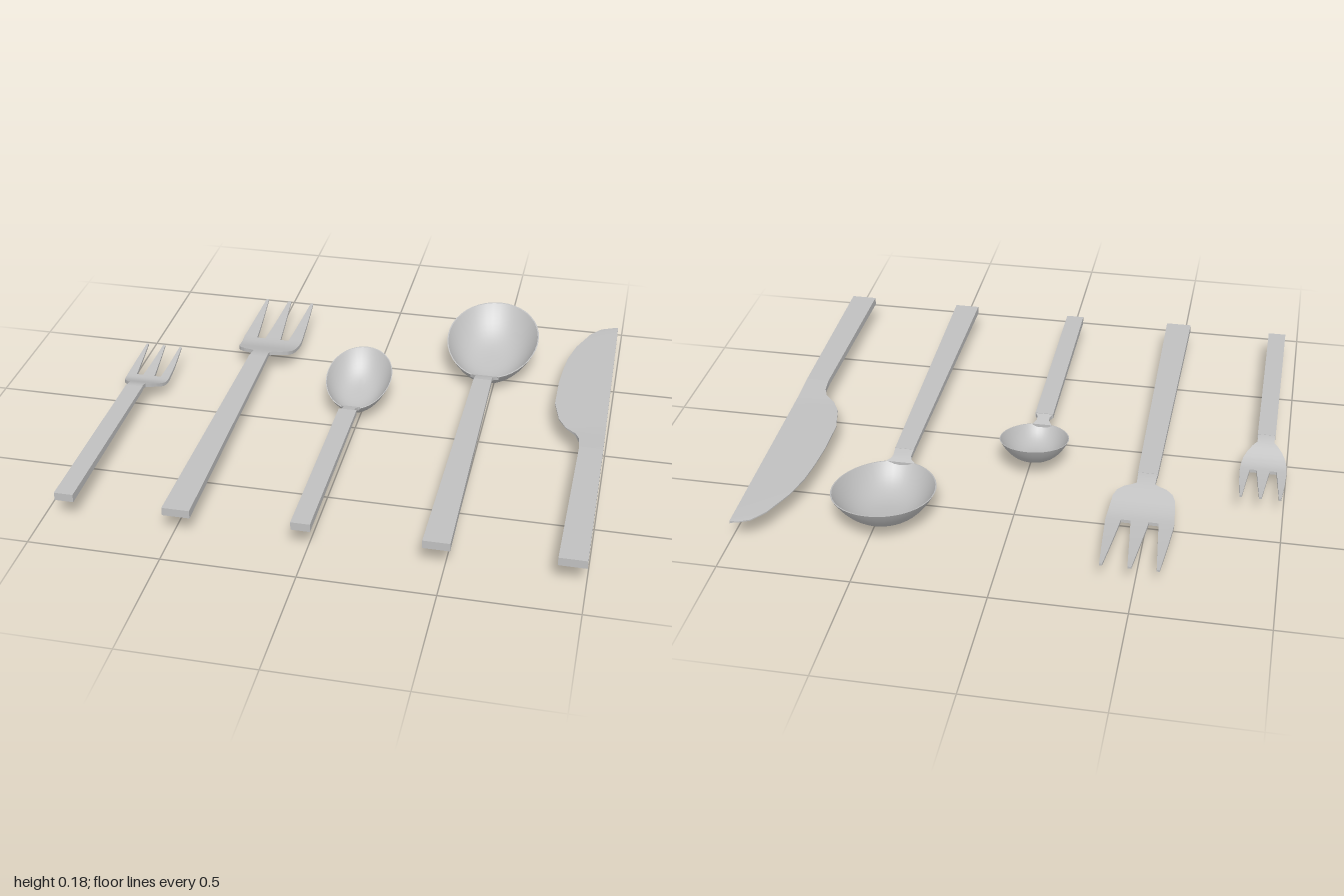
import * as THREE from 'three';
import { toCreasedNormals } from 'three/addons/utils/BufferGeometryUtils.js';

const steel = new THREE.MeshStandardMaterial({ color: 0xc0c0c0 });
steel.name = 'steel';

function part(group, name, geometry) {
  const mesh = new THREE.Mesh(toCreasedNormals(geometry, 0.6), steel);
  mesh.name = name;
  group.add(mesh);
  return mesh;
}

// Loft four-sided sections running from +z to -z.
// Section: [z, x0, x1, bottom, top, (bottom, top at x1)]
function loft(sections) {
  const pos = [], idx = [];
  for (const [z, x0, x1, b0, t0, b1 = b0, t1 = t0] of sections) {
    pos.push(x0, b0, z, x1, b1, z, x1, t1, z, x0, t0, z);
  }
  const last = (sections.length - 1) * 4;
  for (let i = 0; i < last; i += 4) {
    for (let k = 0; k < 4; k++) {
      const a = i + k, b = i + (k + 1) % 4;
      idx.push(a, a + 4, b, b, a + 4, b + 4);
    }
  }
  idx.push(0, 1, 2, 0, 2, 3, last, last + 2, last + 1, last, last + 3, last + 2);
  const g = new THREE.BufferGeometry();
  g.setAttribute('position', new THREE.Float32BufferAttribute(pos, 3));
  g.setIndex(idx);
  return g;
}

// Tapered bar handle
const handle = (z0, z1, w0, w1) => loft([
  [z0, -w0, w0, 0.088, 0.12],
  [z1, -w1, w1, 0.094, 0.114],
]);

// Fork: outline rows [z, x0, x1] are subdivided and bent along a dipping curve
function fork(name, x, o) {
  const g = new THREE.Group();
  g.name = name;
  g.position.x = x;
  part(g, 'handle', handle(o.end, o.neck, o.w0, o.w1));
  const bend = (rows) => {
    const out = [];
    rows.forEach((r, i) => {
      const n = rows[i + 1];
      const steps = n ? 4 : 1;
      for (let s = 0; s < steps; s++) {
        const [z, x0, x1] = r.map((v, k) => (n ? v + (n[k] - v) * s / steps : v));
        const u = (o.neck - z) / (o.neck - o.tip);
        const y = 0.104 - 0.05 * THREE.MathUtils.smoothstep(u, 0, 0.4)
          + 0.03 * Math.pow(Math.max(0, u - 0.4) / 0.6, 1.4);
        const h = 0.009 - 0.005 * u;
        out.push([z, x0, x1, y - h, y + h]);
      }
    });
    return loft(out);
  };
  part(g, 'palm', bend(o.palm.map(([z, w]) => [z, -w, w])));
  part(g, 'middleTine', bend(o.middle.map(([z, w]) => [z, -w, w])));
  part(g, 'leftTine', bend(o.outer));
  part(g, 'rightTine', bend(o.outer.map(([z, a, b]) => [z, -b, -a])));
  return g;
}

// Spoon: a double-walled lathe bowl stretched to an oval and tilted up at the tip
function spoon(name, x, o) {
  const g = new THREE.Group();
  g.name = name;
  g.position.x = x;
  part(g, 'handle', handle(o.end, o.neck, o.w0, o.w1));
  part(g, 'neck', loft(o.throat.map(([z, w, b, t]) => [z, -w, w, b, t])));
  const profile = [], N = 14;
  const depth = (t, d) => -d * (1 - Math.pow(t, 3));
  for (let i = 0; i <= N; i++) {
    const t = Math.sin(i / N * Math.PI / 2);
    profile.push(new THREE.Vector2(i ? t : 0, depth(t, o.depth)));
  }
  for (let i = N; i >= 0; i--) {
    const t = Math.sin(i / N * Math.PI / 2);
    profile.push(new THREE.Vector2(i ? t * 0.975 : 0, depth(t, o.depth - 0.008)));
  }
  const bowl = new THREE.LatheGeometry(profile, 40);
  const p = bowl.attributes.position;
  for (let i = 0; i < p.count; i++) {
    const w = p.getZ(i), z = w * o.rz;
    p.setXYZ(i, p.getX(i) * o.rx * (1 - 0.05 * w), p.getY(i) + o.rim - o.slope * z, z + o.zc);
  }
  part(g, 'bowl', bowl);
  return g;
}

function knife() {
  const g = new THREE.Group();
  g.name = 'knife';
  part(g, 'handle', loft([
    [0.855, 0.897, 1, 0.088, 0.12],
    [0.13, 0.904, 0.996, 0.092, 0.117],
  ]));
  // Blade: [z, cutting edge x], thick at the spine and thin at the edge
  const edge = [[0.13, 0.904], [0.07, 0.899], [0.03, 0.882], [0.008, 0.86], [-0.01, 0.84],
    [-0.07, 0.807], [-0.185, 0.78], [-0.345, 0.779], [-0.46, 0.786], [-0.56, 0.797],
    [-0.665, 0.823], [-0.785, 0.872], [-0.84, 0.914], [-0.86, 0.957], [-0.865, 0.982]];
  part(g, 'blade', loft(edge.map(([z, x]) => {
    const k = THREE.MathUtils.clamp((z + 0.01) / 0.14, 0, 1);
    const spine = 0.006 + 0.0065 * k, thin = 0.0025 + 0.01 * k;
    return [z, x, 0.985 + 0.011 * (z + 0.865), 0.1045 - thin, 0.1045 + thin,
      0.1045 - spine, 0.1045 + spine];
  })));
  return g;
}

export function createModel() {
  const model = new THREE.Group();
  model.name = 'cutlerySet';
  model.add(
    fork('smallFork', -0.911, {
      end: 0.845, neck: 0.045, tip: -0.345, w0: 0.036, w1: 0.035,
      palm: [[0.045, 0.033], [0.005, 0.033], [-0.01, 0.048], [-0.035, 0.067], [-0.065, 0.082],
        [-0.095, 0.088], [-0.13, 0.09]],
      middle: [[-0.13, 0.025], [-0.2, 0.018], [-0.345, 0.005]],
      outer: [[-0.13, 0.052, 0.09], [-0.22, 0.06, 0.087], [-0.345, 0.069, 0.078]],
    }),
    fork('largeFork', -0.481, {
      end: 0.855, neck: -0.3, tip: -0.848, w0: 0.052, w1: 0.038,
      palm: [[-0.3, 0.037], [-0.355, 0.035], [-0.364, 0.05], [-0.375, 0.08], [-0.395, 0.105],
        [-0.42, 0.117], [-0.46, 0.122], [-0.54, 0.128]],
      middle: [[-0.54, 0.034], [-0.66, 0.023], [-0.848, 0.007]],
      outer: [[-0.54, 0.07, 0.128], [-0.69, 0.083, 0.119], [-0.848, 0.097, 0.108]],
    }),
    spoon('smallSpoon', -0.021, {
      end: 0.845, neck: 0.045, w0: 0.036, w1: 0.036,
      throat: [[0.045, 0.034, 0.094, 0.112], [0.03, 0.025, 0.093, 0.108],
        [0.012, 0.025, 0.088, 0.103], [-0.01, 0.038, 0.083, 0.096]],
      rx: 0.134, rz: 0.175, zc: -0.17, rim: 0.138, slope: 0.27, depth: 0.095,
    }),
    spoon('largeSpoon', 0.471, {
      end: 0.855, neck: -0.3, w0: 0.05, w1: 0.037,
      throat: [[-0.3, 0.037, 0.094, 0.113], [-0.335, 0.035, 0.09, 0.106],
        [-0.35, 0.04, 0.086, 0.1], [-0.366, 0.058, 0.08, 0.094]],
      rx: 0.193, rz: 0.25, zc: -0.6, rim: 0.138, slope: 0.19, depth: 0.125,
    }),
    knife(),
  );
  return model;
}
